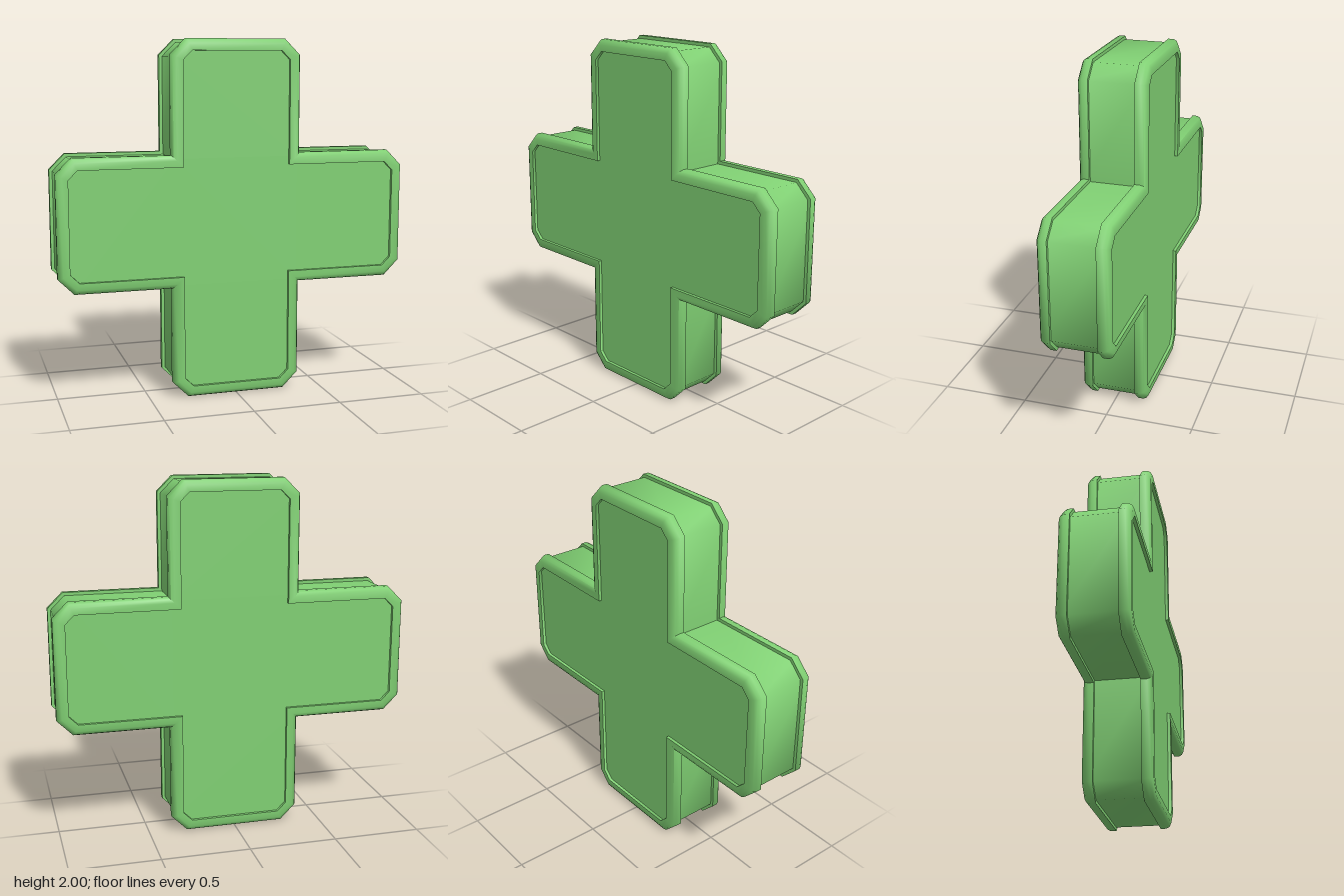
import * as THREE from 'three';
import { toCreasedNormals } from 'three/addons/utils/BufferGeometryUtils.js';

const CORE_INSET = 0.018;
const FACE_Z = 0.168;

// Cross outline with chamfered arm ends, shrunk evenly by `inset`
function crossOutline(inset) {
  const w = 0.37 - inset;
  const l = 1 - inset;
  const c = 0.088 - inset * (2 - Math.SQRT2);
  const arm = [[l - c, -w], [l, c - w], [l, w - c], [l - c, w], [w, w]];
  const points = [];
  for (let turn = 0; turn < 4; turn++) {
    for (const [x, y] of arm) {
      points.push([new THREE.Vector2(x, y), new THREE.Vector2(-y, x),
        new THREE.Vector2(-x, -y), new THREE.Vector2(y, -x)][turn]);
    }
  }
  return points;
}

// Sweeps a profile of [inset, z] steps around the cross outline
function rimGeometry(profile) {
  const positions = [];
  const index = [];
  for (const [inset, z] of profile) {
    for (const p of crossOutline(inset)) positions.push(p.x, p.y, z);
  }
  const n = crossOutline(0).length;
  for (let i = 0; i < profile.length - 1; i++) {
    for (let j = 0; j < n; j++) {
      const a = i * n + j;
      const b = i * n + (j + 1) % n;
      index.push(a, b, b + n, a, b + n, a + n);
    }
  }
  const geometry = new THREE.BufferGeometry();
  geometry.setAttribute('position', new THREE.Float32BufferAttribute(positions, 3));
  geometry.setIndex(index);
  return toCreasedNormals(geometry, 0.9);
}

export function createModel() {
  const model = new THREE.Group();
  model.name = 'cross';
  const green = new THREE.MeshStandardMaterial({ color: 0x80d073 });

  // Solid core, whose ends are the recessed front and back faces
  const coreGeometry = new THREE.ExtrudeGeometry(new THREE.Shape(crossOutline(CORE_INSET)), {
    depth: FACE_Z * 2,
    bevelEnabled: false,
  });
  coreGeometry.translate(0, 0, -FACE_Z);
  const core = new THREE.Mesh(toCreasedNormals(coreGeometry, 0.9), green);
  core.name = 'core';
  model.add(core);

  // Rounded raised rims overhanging the core at front and back
  const rim = rimGeometry([
    [CORE_INSET, 0.125], [0, 0.125], [0, 0.157], [0.009, 0.175],
    [0.028, 0.186], [0.065, 0.186], [0.065, FACE_Z - 0.003],
  ]);
  ['frontRim', 'backRim'].forEach((name, i) => {
    const mesh = new THREE.Mesh(rim, green);
    mesh.name = name;
    mesh.rotation.y = i * Math.PI;
    model.add(mesh);
  });

  model.position.y = 1;
  const root = new THREE.Group();
  root.add(model);
  return root;
}
